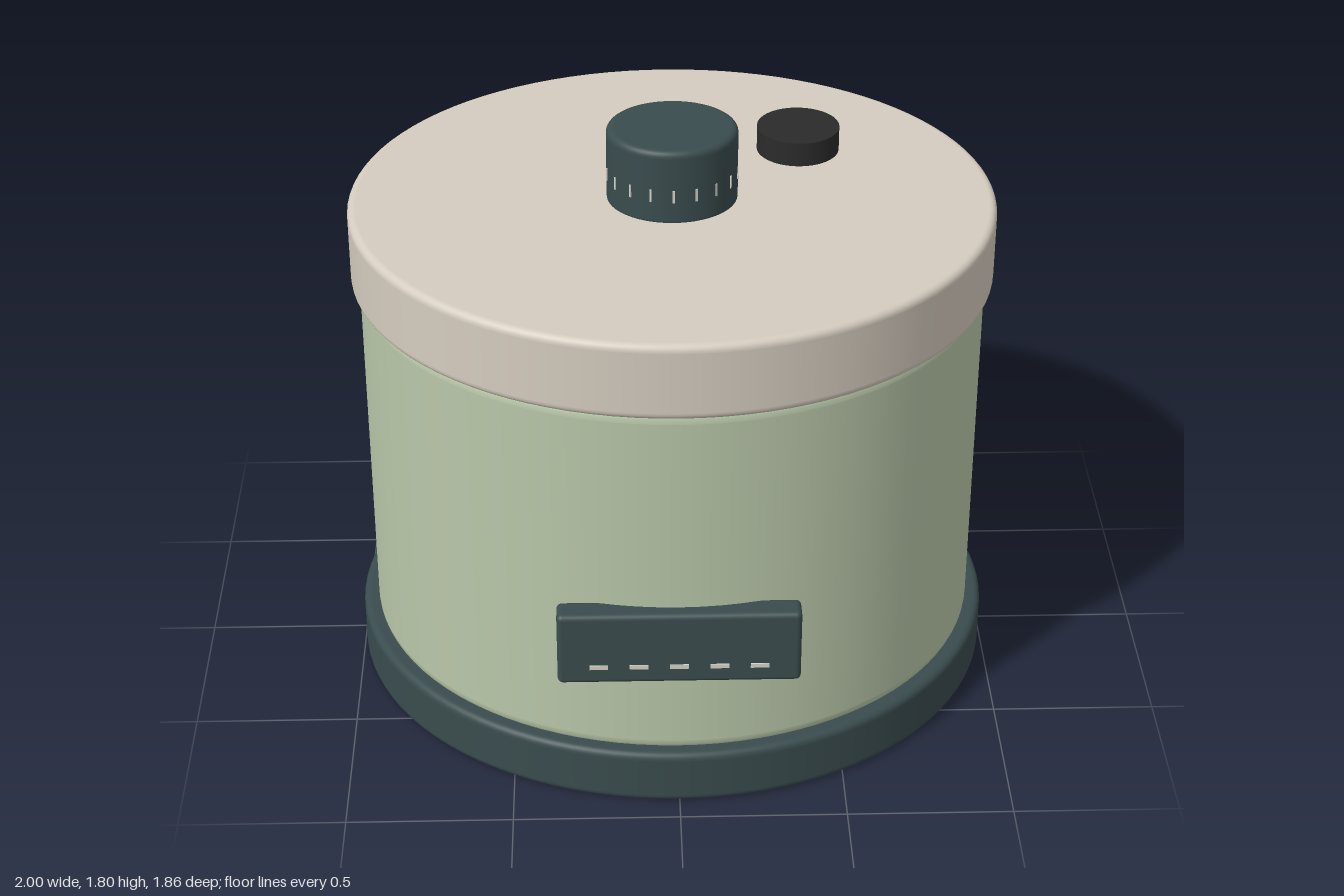
import * as THREE from 'three';
import { RoundedBoxGeometry } from 'three/addons/geometries/RoundedBoxGeometry.js';

const DEPTH = 0.93; // the round parts are slightly oval

const material = (name, color) => {
  const m = new THREE.MeshStandardMaterial({ color });
  m.name = name;
  return m;
};

// Closed disc with rounded rims, turned from a profile and squashed in z
function roundedDisc(radius, y0, y1, bevel, depth = DEPTH) {
  const e = 0.002;
  const pts = [new THREE.Vector2(0, y0), new THREE.Vector2(radius - bevel - e, y0)];
  const arc = (cy, from) => {
    for (let i = 0; i <= 6; i++) {
      const a = from + (i / 6) * Math.PI / 2;
      pts.push(new THREE.Vector2(radius - bevel + bevel * Math.cos(a), cy + bevel * Math.sin(a)));
    }
  };
  arc(y0 + bevel, -Math.PI / 2);
  pts.push(new THREE.Vector2(radius, y0 + bevel + e), new THREE.Vector2(radius, y1 - bevel - e));
  arc(y1 - bevel, 0);
  pts.push(new THREE.Vector2(radius - bevel - e, y1), new THREE.Vector2(0, y1));
  return new THREE.LatheGeometry(pts, 96).scale(1, 1, depth);
}

export function createModel() {
  const model = new THREE.Group();
  model.name = 'cooker';
  const teal = material('dark teal', 0x3a4c4e);
  const green = material('sage green', 0xb9c7a9);
  const cream = material('warm cream', 0xd5ccbf);
  const black = material('charcoal', 0x2b2b2b);
  const pale = material('pale marking', 0xd6d3c8);

  const add = (name, geometry, mat, x = 0, y = 0, z = 0, parent = model) => {
    const mesh = new THREE.Mesh(geometry, mat);
    mesh.name = name;
    mesh.position.set(x, y, z);
    parent.add(mesh);
    return mesh;
  };

  // Stacked oval shell
  add('base', roundedDisc(0.998, 0, 0.175, 0.022), teal);
  add('body', roundedDisc(0.95, 0.15, 1.355, 0.045), green);
  add('lid', roundedDisc(0.975, 1.335, 1.575, 0.022), cream);

  // Knob with a ring of tick marks
  const knob = new THREE.Group();
  knob.name = 'knob';
  model.add(knob);
  add('knobBody', roundedDisc(0.197, 1.56, 1.805, 0.02), teal, 0, 0, 0, knob);
  const tick = new THREE.BoxGeometry(0.006, 0.04, 0.006);
  for (let i = 0; i < 18; i++) {
    const a = (i / 18) * Math.PI * 2;
    add('knobTick', tick, pale, 0.197 * Math.sin(a), 1.662, 0.197 * DEPTH * Math.cos(a), knob).rotation.y = a;
  }

  // Steam vent cap
  add('ventCap', new THREE.CylinderGeometry(0.127, 0.127, 0.09, 64), black, 0.397, 1.607, -0.305);

  // Control panel with a row of indicator dashes
  const panel = new THREE.Group();
  panel.name = 'controlPanel';
  model.add(panel);
  add('panelPlate', new RoundedBoxGeometry(0.714, 0.24, 0.083, 4, 0.016), teal, -0.002, 0.565, 0.885, panel);
  const dash = new THREE.BoxGeometry(0.055, 0.014, 0.008);
  for (let i = -2; i <= 2; i++) add('panelDash', dash, pale, i * 0.118 - 0.002, 0.505, 0.926, panel);

  return model;
}
